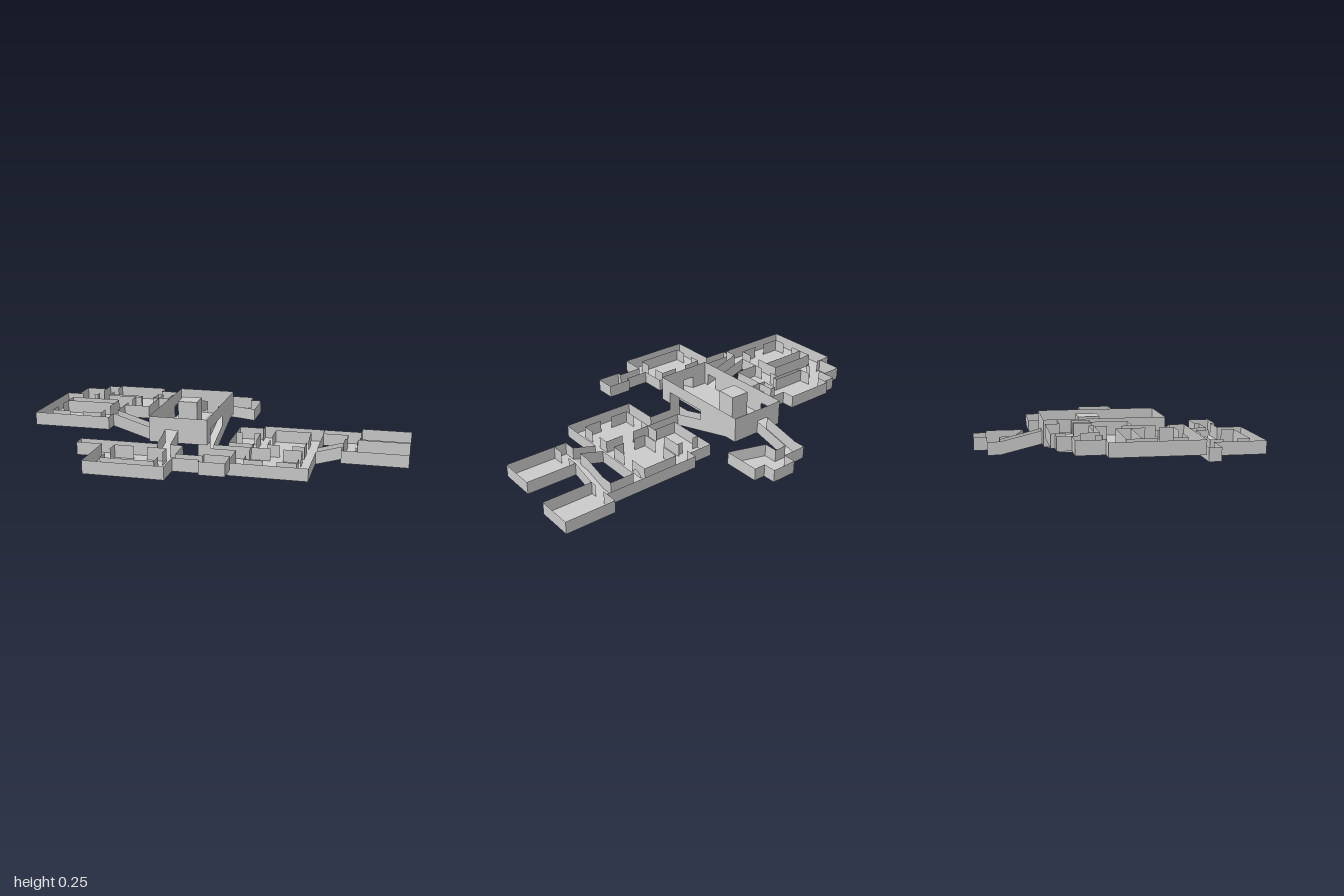
import * as THREE from 'three';
import { mergeGeometries } from 'three/addons/utils/BufferGeometryUtils.js';

const H = 0.07; // storey, door and corridor wall height
const material = new THREE.MeshStandardMaterial({ color: 0xcccccc, side: THREE.DoubleSide, flatShading: true });

// Four corners [x, y, z] in order
function quad(a, b, c, d) {
  const g = new THREE.BufferGeometry();
  g.setAttribute('position', new THREE.Float32BufferAttribute([a, b, c, a, c, d].flat(), 3));
  g.computeVertexNormals();
  return g;
}

// Upright panel between plan points a and b [x, z]; bottoms and tops may slope
function panel(a, b, low, high, lowB = low, highB = high) {
  return quad([a[0], low, a[1]], [b[0], lowB, b[1]], [b[0], highB, b[1]], [a[0], high, a[1]]);
}

// Wall broken by every door [x, z, width] that lies on it, with a lintel if taller than the door
function wall(a, b, y, h, doors) {
  const dx = b[0] - a[0], dz = b[1] - a[1], len = Math.hypot(dx, dz);
  const at = (t) => [a[0] + (dx * t) / len, a[1] + (dz * t) / len];
  const cuts = doors
    .filter(([x, z]) => Math.abs((x - a[0]) * dz - (z - a[1]) * dx) / len < 0.004)
    .map(([x, z, w = H]) => [((x - a[0]) * dx + (z - a[1]) * dz) / len, w / 2])
    .filter(([t]) => t > 0 && t < len)
    .sort((p, q) => p[0] - q[0]);
  const out = [];
  let from = 0;
  for (const [t, r] of cuts) {
    if (t - r - from > 0.002) out.push(panel(at(from), at(t - r), y, y + h));
    if (h > H) out.push(panel(at(t - r), at(t + r), y + H, y + h));
    from = t + r;
  }
  if (len - from > 0.002) out.push(panel(at(from), b, y, y + h));
  return out;
}

const loop = (pts, y, h, doors) => pts.flatMap((p, i) => wall(p, pts[(i + 1) % pts.length], y, h, doors));
const rect = (x0, z0, x1, z1) => [[x0, z0], [x1, z0], [x1, z1], [x0, z1]];

function floor(pts, y, holes = []) {
  const flip = (list) => list.map(([x, z]) => new THREE.Vector2(x, -z));
  const shape = new THREE.Shape(flip(pts));
  holes.forEach((hole) => shape.holes.push(new THREE.Path(flip(hole))));
  const g = new THREE.ShapeGeometry(shape).rotateX(-Math.PI / 2).translate(0, y, 0).toNonIndexed();
  g.deleteAttribute('uv');
  return g;
}

export function createModel() {
  const model = new THREE.Group();
  function add(name, geometries) {
    const mesh = new THREE.Mesh(mergeGeometries(geometries), material);
    mesh.name = name;
    model.add(mesh);
  }
  const room = (name, pts, y, doors = [], holes = []) =>
    add(name, [floor(pts, y, holes), ...loop(pts, y, H, doors), ...holes.flatMap((p) => loop(p, y, H, doors))]);
  const innerRoom = (name, pts, y, doors) => add(name, loop(pts, y, H, doors));
  // Passage or ramp between the middles of its ends [x, y, z]
  function passage(name, [x0, y0, z0], [x1, y1, z1], w = H) {
    const len = Math.hypot(x1 - x0, z1 - z0);
    const nx = (-(z1 - z0) / len) * (w / 2), nz = ((x1 - x0) / len) * (w / 2);
    const parts = [quad([x0 + nx, y0, z0 + nz], [x1 + nx, y1, z1 + nz], [x1 - nx, y1, z1 - nz], [x0 - nx, y0, z0 - nz])];
    for (const s of [-1, 1])
      parts.push(panel([x0 + s * nx, z0 + s * nz], [x1 + s * nx, z1 + s * nz], y0, y0 + H, y1, y1 + H));
    add(name, parts);
  }

  // Central hall, floor cut away over the east ramp
  const hy = 0.11, top = 0.25, L = -0.37, R = -0.05, S = -0.12, N = -0.385, F = 0.242;
  const hallDoors = [[-0.245, N], [-0.245, F], [L, 0.18], [L, -0.28]];
  add('hall', [
    floor([[L, N], [R, N], [R, -0.315], [S, -0.315], [S, 0.17], [R, 0.17], [R, F], [L, F]], hy),
    ...wall([L, N], [R, N], hy, top - hy, hallDoors),
    ...wall([L, F], [R, F], hy, top - hy, hallDoors),
    ...wall([L, N], [L, F], hy, top - hy, hallDoors),
    panel([R, N], [R, -0.315], hy, top),
    panel([R, -0.315], [R, -0.1], 0.18, top, 0.122, top),
    panel([R, -0.1], [R, 0.17], 0.18, top),
    panel([R, 0.17], [R, F], hy, top),
  ]);
  // Ledge that covers the lower half of the ramp
  add('hallLedge', [
    floor(rect(S, -0.1, R, 0.17), 0.18),
    panel([S, -0.1], [S, 0.17], hy, 0.18),
    panel([S, 0.17], [R, 0.17], H, 0.18),
  ]);
  const pillar = new THREE.Mesh(new THREE.BoxGeometry(0.11, top - hy, 0.11), material);
  pillar.name = 'hallPillar';
  pillar.position.set(-0.25, (top + hy) / 2, -0.145);
  model.add(pillar);

  // Ramps leaving the hall
  passage('eastRamp', [-0.085, hy, -0.315], [-0.085, 0, 0.1]);
  passage('northRamp', [-0.245, hy, N], [-0.245, 0.058, -0.6]);
  passage('southRamp', [-0.245, hy, F], [-0.245, 0.077, 0.385]);
  passage('westRamp', [L, hy, 0.18], [-0.58, 0.175, 0.18]);
  room('eastLanding', rect(S, 0.1, R, 0.17), 0, [[-0.085, 0.1], [R, 0.135]]);
  passage('eastPassage', [R, 0, 0.135], [0.09, 0, 0.135]);

  // East wing: large block with two inner rooms and a side room
  const eastDoors = [[0.51, -0.28], [0.51, 0.065], [0.09, 0.135], [0.16, -0.21], [0.16, -0.01]];
  room('eastBlock', [[0.09, 0.1], [0.16, 0.1], [0.16, -0.315], [0.51, -0.315], [0.51, 0.38], [0.09, 0.38]], 0, eastDoors);
  innerRoom('eastInnerRoomBack', rect(0.235, -0.245, 0.44, 0.03), 0, [[0.235, -0.1], [0.34, 0.03], [0.44, -0.1]]);
  innerRoom('eastInnerRoomFront', rect(0.16, 0.1, 0.44, 0.31), 0, [[0.3, 0.1], [0.16, 0.2], [0.44, 0.2], [0.3, 0.31]]);
  room('eastSideRoomBack', rect(0.02, -0.27, 0.16, -0.16), 0, [[0.16, -0.21], [0.09, -0.16]]);
  room('eastSideRoomFront', rect(0.02, -0.16, 0.16, 0.04), 0, [[0.16, -0.01], [0.09, -0.16]]);
  // Far rooms on two levels, joined by a ramp
  passage('farRamp', [0.51, 0, 0.065], [0.65, 0.04, 0.065]);
  room('farLanding', rect(0.65, -0.035, 0.72, 0.17), 0.04, [[0.65, 0.065], [0.685, -0.035], [0.72, 0.065]]);
  passage('farSlope', [0.685, 0.04, -0.035], [0.685, 0, -0.175]);
  room('farCorner', rect(0.65, -0.315, 0.72, -0.175), 0, [[0.65, -0.28], [0.685, -0.175], [0.72, -0.25]]);
  passage('farPassage', [0.51, 0, -0.28], [0.65, 0, -0.28]);
  room('farRoomBack', rect(0.72, -0.385, 1, -0.18), 0, [[0.72, -0.25]]);
  room('farRoomFront', rect(0.72, -0.035, 1, 0.17), 0.04, [[0.72, 0.065]]);
  // Round head over the doorway to the far passage
  const arch = new THREE.Mesh(new THREE.CircleGeometry(0.035, 16, 0, Math.PI), material);
  arch.name = 'doorArch';
  arch.rotation.y = Math.PI / 2;
  arch.position.set(0.51, H, -0.275);
  model.add(arch);

  // West wing: ring corridor around an inner room, with an open court
  const wy = 0.175;
  const westDoors = [[-0.58, 0.18], [-0.58, -0.06], [-0.78, -0.155], [-0.87, -0.155]];
  room('westBlock', rect(-1, -0.155, -0.58, 0.288), wy, westDoors, [rect(-0.93, -0.065, -0.65, 0.01)]);
  innerRoom('westInnerRoom', rect(-0.93, 0.01, -0.65, 0.22), wy, [[-0.93, 0.115], [-0.65, 0.115], [-0.79, 0.22]]);
  room('westSideRoom', rect(-0.58, -0.155, -0.44, 0.03), wy, [[-0.58, -0.06], [-0.51, -0.155]]);
  room('westClosetOuter', rect(-0.93, -0.295, -0.815, -0.155), wy, [[-0.87, -0.155], [-0.815, -0.22]]);
  room('westClosetInner', rect(-0.815, -0.365, -0.745, -0.155), wy, [[-0.78, -0.155], [-0.815, -0.22], [-0.745, -0.28]]);
  room('westBackRoom', rect(-0.745, -0.385, -0.47, -0.18), wy, [[-0.745, -0.28], [-0.47, -0.28], [-0.51, -0.18]]);
  passage('westLink', [-0.51, wy, -0.18], [-0.51, wy, -0.155]);
  room('westBackPassage', [[-0.47, -0.315], [L, -0.315], [L, -0.245], [-0.385, -0.245], [-0.385, -0.155],
    [-0.44, -0.155], [-0.44, -0.245], [-0.47, -0.245]], wy, [[-0.47, -0.28], [L, -0.28]]);

  // South wing: ring corridor around an inner room
  const sy = 0.077;
  room('southBlock', rect(-0.56, 0.385, -0.14, 0.725), sy, [[-0.245, 0.385], [-0.56, 0.418, 0.064], [-0.14, 0.557, 0.064]]);
  innerRoom('southInnerRoom', rect(-0.49, 0.45, -0.21, 0.66), sy, [[-0.49, 0.555], [-0.21, 0.555], [-0.35, 0.45]]);
  room('southSpur', rect(-0.7, 0.385, -0.56, 0.45), sy, [[-0.56, 0.418, 0.064]]);
  passage('southPassage', [-0.14, sy, 0.557], [0, sy, 0.557], 0.064);
  room('southCell', rect(0, 0.5, 0.135, 0.615), sy, [[0, 0.557, 0.064]]);

  // North room with a slanted wall
  const ny = 0.058;
  room('northLanding', rect(-0.28, -0.665, -0.14, -0.6), ny, [[-0.245, -0.6], [-0.14, -0.632, 0.064]]);
  room('northRoom', [[-0.14, -0.735], [0, -0.735], [0, -0.665], [0.065, -0.665], [0.065, -0.46], [-0.14, -0.525]],
    ny, [[-0.14, -0.632, 0.064]]);

  return model;
}
